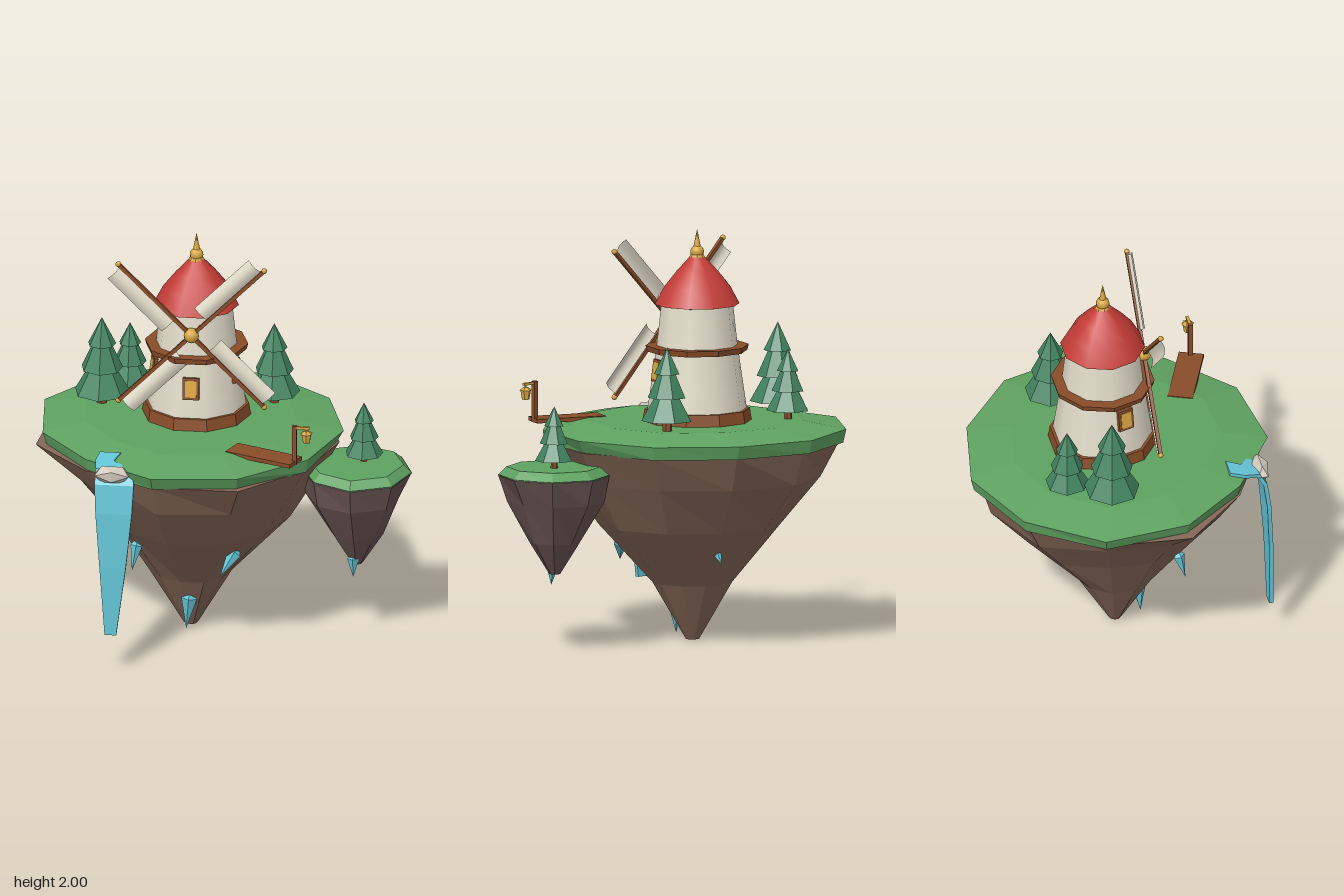
import * as THREE from 'three';

const mat = (name, color) => {
  const m = new THREE.MeshStandardMaterial({ color });
  m.name = name;
  return m;
};

export function createModel() {
  const model = new THREE.Group();
  model.name = 'floatingIsland';
  const grass = mat('grass', 0x5fa261), rock = mat('rock', 0x856757), darkRock = mat('darkRock', 0x685453);
  const plaster = mat('plaster', 0xe4ddcb), roofRed = mat('roofRed', 0xc43c37), wood = mat('wood', 0x894d29);
  const gold = mat('gold', 0xd8a743), leaf = mat('leaf', 0x41835f), water = mat('water', 0x64c4d6);
  const stone = mat('stone', 0xcdc4b8);
  plaster.side = THREE.DoubleSide; // the sails are single sheets

  let seed = 7;
  const rand = () => (seed = (seed * 16807) % 2147483647) / 2147483647;
  const jitter = (a) => 1 + (rand() - 0.5) * 2 * a;

  const add = (parent, name, geo, material, x = 0, y = 0, z = 0) => {
    const mesh = new THREE.Mesh(geo, material);
    mesh.name = name;
    mesh.position.set(x, y, z);
    parent.add(mesh);
    return mesh;
  };
  const addGroup = (parent, name, x = 0, y = 0, z = 0) => {
    const g = new THREE.Group();
    g.name = name;
    g.position.set(x, y, z);
    parent.add(g);
    return g;
  };
  const flat = (geo) => {
    const g = geo.index ? geo.toNonIndexed() : geo;
    g.computeVertexNormals();
    return g;
  };
  const cyl = (rTop, rBottom, h, n) => flat(new THREE.CylinderGeometry(rTop, rBottom, h, n));
  const box = (w, h, d) => new THREE.BoxGeometry(w, h, d);

  // Faceted skin over stacked loops, bottom to top, closed at both ends
  const skin = (loops) => {
    const centre = (l) => {
      const c = l.reduce((s, p) => s.add(p), new THREE.Vector3()).divideScalar(l.length);
      return l.map(() => c);
    };
    const all = [centre(loops[0]), ...loops, centre(loops[loops.length - 1])];
    const pts = [];
    for (let i = 0; i < all.length - 1; i++) {
      const lo = all[i], hi = all[i + 1], n = lo.length;
      for (let k = 0; k < n; k++) {
        const j = (k + 1) % n;
        if (i < all.length - 2) pts.push(lo[k], hi[k], hi[j]);
        if (i > 0) pts.push(lo[k], hi[j], lo[j]);
      }
    }
    return flat(new THREE.BufferGeometry().setFromPoints(pts));
  };
  const ring = (radii, y, scale = 1, wobble = 0) => radii.map((r, k) => {
    const a = (k / radii.length) * Math.PI * 2, q = r * scale * jitter(wobble);
    return new THREE.Vector3(q * Math.cos(a), y, q * Math.sin(a));
  });

  // Main island: turf cap over a tapering rock
  const main = addGroup(model, 'mainIsland', -0.18);
  const rim = [0.74, 0.73, 0.743, 0.738, 0.683, 0.723, 0.767, 0.745, 0.743, 0.727, 0.739];
  add(main, 'turf', skin([ring(rim, 0.965, 0.97, 0.02), ring(rim, 1.03), ring(rim, 1.07, 0.7, 0.02)]), grass);
  const rockRim = [0.72, 0.71, 0.756, 0.70, 0.68, 0.756, 0.72, 0.71, 0.69, 0.70, 0.71];
  const rockUpper = [0.62, 0.61, 0.63, 0.62, 0.57, 0.56, 0.54, 0.62, 0.64, 0.62, 0.61];
  const rockMiddle = [0.48, 0.46, 0.45, 0.44, 0.40, 0.38, 0.37, 0.43, 0.45, 0.45, 0.46];
  add(main, 'rock', skin([
    ring(rockRim, 0, 0.045), ring(rockRim, 0.28, 0.275, 0.04), ring(rockMiddle, 0.57), ring(rockUpper, 0.8),
    ring(rockRim, 0.97),
  ]), rock);

  // Small island
  const small = addGroup(model, 'smallIsland', 0.635, 0, 0.09);
  const disc = [0.268, 0.275, 0.28, 0.265, 0.27, 0.265, 0.272, 0.275];
  add(small, 'smallTurf', skin([ring(disc, 0.862), ring(disc, 0.905, 0.83, 0.03)]), grass);
  add(small, 'smallRock', skin([
    ring(disc, 0.385, 0.1), ring(disc, 0.54, 0.46, 0.05),
    ring([0.205, 0.23, 0.24, 0.24, 0.25, 0.24, 0.235, 0.22], 0.735), ring(disc, 0.866, 0.995),
  ]), darkRock);

  // Trees: trunk and three stacked cones, as fractions of the height
  const tiers = [[0.135, 0.68, 0.305], [0.41, 0.92, 0.23], [0.69, 1, 0.155]];
  for (const [x, y, z, h] of [[-0.627, 1.065, -0.12, 0.445], [-0.515, 1.065, -0.315, 0.345],
    [0.195, 1.065, -0.23, 0.41], [0.666, 0.9, 0.06, 0.305]]) {
    const tree = addGroup(model, 'tree', x, y, z);
    add(tree, 'trunk', cyl(0.045 * h, 0.06 * h, 0.25 * h, 6), wood, 0, 0.115 * h, 0);
    for (const [y0, y1, r] of tiers) {
      const cone = flat(new THREE.ConeGeometry(r * h, (y1 - y0) * h, 7));
      add(tree, 'foliage', cone, leaf, 0, ((y0 + y1) / 2) * h, 0);
    }
  }

  // Mill tower: ten-sided with smooth walls and roof
  const tower = addGroup(model, 'tower', -0.16, 0, -0.055);
  const turn = (pts) => new THREE.LatheGeometry(pts.map(([r, y]) => new THREE.Vector2(r, y)), 10, Math.PI / 10);
  const band = (name, r0, r1, y, h) => {
    add(tower, name, cyl(r1, r0, h, 10), wood, 0, y, 0).rotation.y = Math.PI / 10;
  };
  add(tower, 'wall', turn([[0.247, 1.06], [0.24, 1.13], [0.215, 1.3], [0.194, 1.45], [0.172, 1.65]]), plaster);
  band('plinth', 0.265, 0.255, 1.095, 0.065);
  band('balcony', 0.243, 0.25, 1.422, 0.028);
  add(tower, 'roof', turn([[0.205, 1.635], [0.16, 1.72], [0.1, 1.795], [0.035, 1.865]]), roofRed);
  add(tower, 'eaves', cyl(0.204, 0.17, 0.008, 10), roofRed, 0, 1.633, 0).rotation.y = Math.PI / 10;
  add(tower, 'finialCollar', cyl(0.03, 0.04, 0.02, 8), gold, 0, 1.868, 0);
  add(tower, 'finialBall', new THREE.SphereGeometry(0.033, 10, 8), gold, 0, 1.888, 0);
  add(tower, 'finialSpike', new THREE.ConeGeometry(0.02, 0.1, 8), gold, 0, 1.95, 0);

  // Windows on three faces
  for (const [angle, y] of [[0, 1.275], [0.4 * Math.PI, 1.32], [-0.4 * Math.PI, 1.32]]) {
    const side = addGroup(tower, 'windowSide');
    side.rotation.y = angle;
    const win = addGroup(side, 'window', 0, y, 0.207 - (y - 1.3) * 0.13);
    win.rotation.x = -0.13;
    add(win, 'windowFrame', box(0.08, 0.108, 0.03), wood);
    add(win, 'windowPane', box(0.055, 0.083, 0.008), gold, 0, 0, 0.014);
  }

  // Sail cloth: a thin sheet billowing forward across its width
  const cloth = new THREE.PlaneGeometry(0.37, 0.084, 1, 6);
  const cp = cloth.attributes.position;
  for (let i = 0; i < cp.count; i++) cp.setZ(i, 0.016 * Math.cos((cp.getY(i) / 0.084) * Math.PI));
  cloth.computeVertexNormals();

  // Wheel: hub, axle and four sails
  const wheel = addGroup(model, 'wheel', -0.16, 1.547, 0.148);
  add(wheel, 'axle', cyl(0.018, 0.018, 0.12, 8), wood, 0, 0, -0.05).rotation.x = Math.PI / 2;
  add(wheel, 'hub', new THREE.SphereGeometry(0.037, 10, 8), gold);
  for (let i = 0; i < 4; i++) {
    const arm = addGroup(wheel, 'sailArm');
    arm.rotation.z = Math.PI / 4 + (i * Math.PI) / 2;
    add(arm, 'spar', box(0.5, 0.018, 0.018), wood, 0.25, 0, 0);
    add(arm, 'sparTip', new THREE.SphereGeometry(0.014, 8, 6), gold, 0.5, 0, 0);
    add(arm, 'sail', cloth, plaster, 0.298, 0.049, 0);
  }

  // Jetty with a lamp post
  add(model, 'jetty', box(0.352, 0.02, 0.122), wood, 0.228, 1.064, 0.447).rotation.y = -0.385;
  add(model, 'lampPost', box(0.022, 0.2, 0.022), wood, 0.385, 1.153, 0.507);
  add(model, 'lampArm', box(0.08, 0.012, 0.014), gold, 0.418, 1.243, 0.507);
  const lamp = addGroup(model, 'lantern', 0.443, 0, 0.507);
  add(lamp, 'lanternCap', cyl(0.012, 0.031, 0.014, 6), gold, 0, 1.221, 0);
  add(lamp, 'lanternBody', cyl(0.026, 0.018, 0.046, 6), gold, 0, 1.192, 0);
  add(lamp, 'lanternHook', cyl(0.005, 0.005, 0.02, 6), gold, 0, 1.234, 0);

  // Waterfall: a thin ribbon from its foot up over the rim [x, y, z, half width]
  const path = [[-0.483, 0.2, 0.695, 0.028], [-0.473, 0.55, 0.69, 0.064], [-0.47, 0.82, 0.675, 0.088],
    [-0.47, 0.96, 0.655, 0.095], [-0.475, 1.022, 0.62, 0.088], [-0.53, 1.036, 0.55, 0.045], [-0.51, 1.05, 0.48, 0.05]];
  add(model, 'waterfall', skin(path.map(([x, y, z, w], i) => {
    const a = path[Math.max(i - 1, 0)], b = path[Math.min(i + 1, path.length - 1)];
    const n = new THREE.Vector2(a[2] - b[2], b[1] - a[1]).normalize().multiplyScalar(0.01);
    return [[1, 1], [-1, 1], [-1, -1], [1, -1]].map(([s, f]) =>
      new THREE.Vector3(x + s * w, y + f * n.x, z + f * n.y));
  })), water);
  add(model, 'boulder', flat(new THREE.IcosahedronGeometry(1, 0)), stone, -0.482, 1.01, 0.645)
    .scale.set(0.097, 0.05, 0.045);

  // Crystals, each running from its blunt root to its point
  const down = new THREE.Vector3(0, -1, 0);
  for (const [root, tip, r] of [
    [[-0.168, 0.225, 0.115], [-0.188, 0.015, 0.125], 0.04],
    [[0.08, 0.5, 0.225], [0.0, 0.37, 0.32], 0.036],
    [[-0.405, 0.53, 0.25], [-0.43, 0.37, 0.29], 0.03],
    [[-0.06, 0.48, -0.29], [-0.05, 0.41, -0.35], 0.025],
    [[0.622, 0.45, 0.12], [0.622, 0.325, 0.13], 0.03]]) {
    const a = new THREE.Vector3(...root), d = new THREE.Vector3(...tip).sub(a), len = d.length();
    const shape = [[0, -len], [r, -0.25 * len], [0, 0]].map(([x, y]) => new THREE.Vector2(x, y));
    add(model, 'crystal', flat(new THREE.LatheGeometry(shape, 5)), water, ...root)
      .quaternion.setFromUnitVectors(down, d.normalize());
  }
  return model;
}
